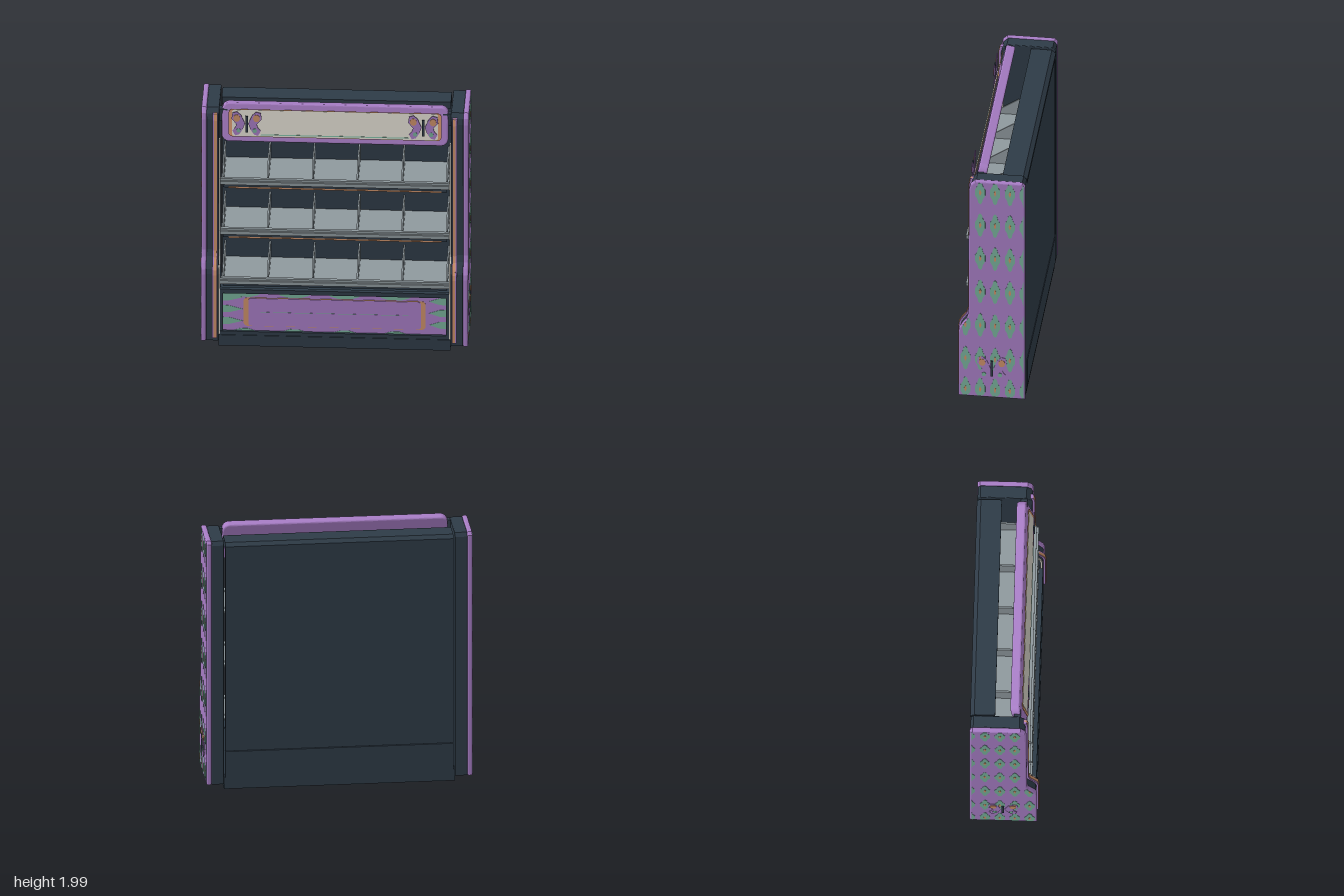
import * as THREE from 'three';
import { mergeGeometries } from 'three/addons/utils/BufferGeometryUtils.js';

const mat = (name, color) => Object.assign(new THREE.MeshStandardMaterial({ color }), { name });

export function createModel() {
  const root = new THREE.Group();
  root.name = 'displayShelf';
  const purple = mat('purple', 0xa77dc5), green = mat('green', 0x78b19b), dark = mat('slate', 0x2e3b47);
  const grey = mat('shelfGrey', 0x8f999e), orange = mat('orange', 0xcd9169), cream = mat('cream', 0xd3cfc4);

  const add = (name, geo, m, parent = root) => {
    const mesh = new THREE.Mesh(geo, m);
    mesh.name = name;
    parent.add(mesh);
    return mesh;
  };
  // Box given by its limits on each axis
  const box = (name, m, x0, x1, y0, y1, z0, z1, parent) =>
    add(name, new THREE.BoxGeometry(x1 - x0, y1 - y0, z1 - z0)
      .translate((x0 + x1) / 2, (y0 + y1) / 2, (z0 + z1) / 2), m, parent);
  const poly = pts => new THREE.Shape(pts.map(p => new THREE.Vector2(p[0], p[1])));
  // Extrude a (z, y) outline from x0 to x1
  const slab = (shape, x0, x1, bevel = 0) => new THREE.ExtrudeGeometry(shape, {
    depth: x1 - x0 - 2 * bevel, bevelEnabled: bevel > 0, bevelSize: bevel, bevelThickness: bevel,
    bevelOffset: -bevel, bevelSegments: 3, curveSegments: 8,
  }).translate(0, 0, bevel).rotateY(-Math.PI / 2).translate(x1, 0, 0);
  // The same slab on the left (s = 1) or right (s = -1) side
  const sideSlab = (shape, s, x0, x1, bevel) => s > 0 ? slab(shape, x0, x1, bevel) : slab(shape, -x1, -x0, bevel);
  const plate = (shape, depth, z = 0) =>
    new THREE.ExtrudeGeometry(shape, { depth, bevelEnabled: false, curveSegments: 8 }).translate(0, 0, z);
  const roundRect = (w, h, r) => {
    const s = new THREE.Shape(), x = w / 2, y = h / 2;
    s.absarc(x - r, y - r, r, 0, Math.PI / 2);
    s.absarc(-x + r, y - r, r, Math.PI / 2, Math.PI);
    s.absarc(-x + r, -y + r, r, Math.PI, Math.PI * 1.5);
    s.absarc(x - r, -y + r, r, Math.PI * 1.5, Math.PI * 2);
    return s;
  };

  // Butterfly ornament facing +z
  const wing = [[.012, 0], [.04, .07], [.07, .1], [.105, .09], [.112, .04], [.075, -.005], [.085, -.035],
    [.105, -.06], [.085, -.1], [.055, -.09], [.03, -.05]];
  const butterfly = (x, y, z, turn) => {
    const g = new THREE.Group();
    g.name = 'butterfly';
    for (const s of [1, -1]) {
      add('wing', plate(poly(wing.map(p => [p[0] * s, p[1]])), .006), purple, g);
      const spot = (name, m, px, py, rx, ry) =>
        add(name, plate(new THREE.Shape().absellipse(px * s, py, rx, ry, 0, Math.PI * 2), .004, .005), m, g);
      spot('upperSpot', orange, .073, .047, .025, .03);
      spot('lowerSpot', green, .06, -.057, .016, .018);
    }
    box('body', dark, -.009, .009, -.07, .065, 0, .012, g);
    g.position.set(x, y, z);
    g.rotation.y = turn;
    root.add(g);
  };

  // Side walls: front edge as (z, y) points, bottom to top
  const front = [[.245, .04], [.245, .6], [.238, .64], [.215, .68], [.185, .72], [.17, .77], [.165, 1.87], [.155, 1.92], [.12, 1.955]];
  const wall = poly([...front, [-.235, 1.955], [-.255, 1.93], [-.255, .04]]);
  const innerWall = poly([...front.map(p => [p[0] - .008, p[1] - (p[1] > 1.9 ? .006 : 0)]), [-.23, 1.949], [-.25, 1.92], [-.25, .04]]);
  const edge = front.slice(0, 8);
  const strip = (d0, d1, y0, y1) => {
    const cut = edge.map(p => [p[0], Math.min(y1, Math.max(y0, p[1]))]);
    return poly([...cut.map(p => [p[0] + d1, p[1]]), ...cut.reverse().map(p => [p[0] + d0, p[1]])]);
  };
  const frontZ = y => {
    for (let i = 1; i < front.length; i++) {
      const [z0, y0] = front[i - 1], [z1, y1] = front[i];
      if (y <= y1) return z0 + (z1 - z0) * (y - y0) / (y1 - y0);
    }
    return .12;
  };

  // Leaf pattern, trimmed to the wall outline
  const leafHalf = [[0, .105], [.014, .09], [.02, .06], [.038, .025], [.038, -.025], [.02, -.06], [.014, -.09], [0, -.105]];
  const leafFull = [...leafHalf, ...leafHalf.slice(1, -1).reverse().map(p => [-p[0], p[1]])];
  const leaf = (z, y, k = 1) => poly(leafFull.map(([dz, dy]) => {
    const py = Math.min(1.942, Math.max(.053, y + dy * k));
    return [Math.max(-.242, Math.min(frontZ(py) - .012, z + dz * k)), py];
  }));
  for (const s of [1, -1]) {
    const side = s > 0 ? 'left' : 'right';
    add(side + 'Wall', sideSlab(wall, s, .953, .992, .012), purple);
    add(side + 'InnerWall', sideSlab(innerWall, s, .86, .954, .006), dark);
    add(side + 'TrimBase', sideSlab(strip(-.02, .008, .07, 1.94), s, .872, .907), purple);
    add(side + 'TrimStripe', sideSlab(strip(-.01, .013, .075, 1.935), s, .876, .896), orange);
    add(side + 'LightStrip', sideSlab(strip(-.03, -.015, .06, 1.7), s, .849, .861), cream);
    const leaves = [], dots = [];
    for (const y of [.11, .38, .68, .98, 1.275, 1.57, 1.86]) {
      for (const z of [.19, .08, -.031, -.142, -.253]) {
        if (z > .15 && y > .7) continue;
        leaves.push(sideSlab(leaf(z, y), s, .989, .994));
        if (z > -.2) dots.push(sideSlab(leaf(z, y, .24), s, .99, .996));
      }
    }
    add(side + 'Leaves', mergeGeometries(leaves), green);
    add(side + 'LeafDots', mergeGeometries(dots), orange);
    butterfly(s * .99, .305, -.008, s * Math.PI / 2);
    butterfly(s * .655, 1.848, .168, 0);
    box(side + 'HeaderBracket', dark, s > 0 ? .8 : -.865, s > 0 ? .865 : -.8, 1.84, 1.94, .07, .12);
  }

  // Carcass
  box('base', dark, -.86, .86, 0, .09, -.245, .24);
  box('backPanel', dark, -.85, .85, .3, 1.91, -.25, -.2);
  box('backLowerPanel', dark, -.85, .85, .06, .296, -.254, -.2);
  add('topHood', slab(poly([[-.225, 1.935], [-.07, 1.935], [-.07, 1.88], [-.255, 1.88], [-.255, 1.91]]), -.85, .85), dark);
  box('lowerBox', dark, -.85, .85, .08, .46, -.2, .212);

  // Lower front panel with frame, leaves and raised plaque
  box('panelTopRail', dark, -.85, .85, .44, .475, .2, .235);
  box('panelBottomRail', dark, -.85, .85, .085, .12, .2, .235);
  for (const s of [1, -1]) box('panelStile', dark, s > 0 ? .828 : -.85, s > 0 ? .85 : -.828, .1, .46, .2, .23);
  box('lowerPanel', purple, -.83, .83, .12, .44, .205, .216);
  const panelLeaves = [];
  for (const x of [-.67, -.3, .075, .45]) {
    panelLeaves.push(poly([[x - .13, .44], [x - .1, .42], [x - .05, .405], [x + .05, .405], [x + .1, .42], [x + .13, .44]]));
    panelLeaves.push(poly([[x - .08, .12], [x - .03, .137], [x + .03, .137], [x + .08, .12]]));
  }
  for (const y of [.2, .3, .4]) for (const s of [1, -1]) {
    const tip = s > 0 ? .7 : -.68;
    panelLeaves.push(poly([[s * .828, y - .03], [s * .78, y - .028], [tip, y], [s * .78, y + .028], [s * .828, y + .03]]));
  }
  add('panelLeaves', mergeGeometries(panelLeaves.map(p => plate(p, .003, .215))), green);
  add('plaqueBorder', plate(roundRect(1.35, .24, .03), .004, .217).translate(0, .28, 0), orange);
  add('plaque', plate(roundRect(1.28, .232, .02), .006, .219).translate(0, .28, 0), purple);
  box('plaqueLine', green, -.55, .55, .279, .282, .224, .226);

  // Shelves with lips, dividers and under-shelf light
  const divider = poly([[-.2, 0], [.165, 0], [.165, .05], [.02, .148], [-.2, .148]]);
  for (const y of [.5, .92, 1.342]) {
    const g = new THREE.Group();
    g.name = 'shelf';
    g.position.y = y;
    root.add(g);
    box('shelfBoard', grey, -.845, .845, 0, .014, -.2, .17, g);
    box('shelfLip', grey, -.85, .85, -.004, .046, .165, .19, g);
    box('lipRail', grey, -.85, .85, .002, .03, .188, .205, g);
    box('shelfTray', dark, -.83, .83, -.05, 0, -.2, .15, g);
    box('shelfLight', orange, -.79, .79, -.054, -.043, .13, .154, g);
    for (let i = 0; i < 6; i++) {
      const x = -.83 + i * .332;
      add('divider', slab(divider, x - .006, x + .006), grey, g);
    }
  }

  // Tilted header board
  const header = new THREE.Group();
  header.name = 'header';
  header.position.set(0, 1.84, .138);
  header.rotation.x = -.2;
  root.add(header);
  add('headerBoard', new THREE.ExtrudeGeometry(roundRect(1.68, .302, .055), {
    depth: .046, bevelSize: .012, bevelThickness: .012, bevelOffset: -.012, bevelSegments: 3, curveSegments: 8,
  }).translate(0, 0, -.058), purple, header);
  add('headerBorder', plate(roundRect(1.58, .212, .03), .004, .011), orange, header);
  add('headerFace', plate(roundRect(1.53, .204, .02), .004, .013), cream, header);
  box('headerLine', green, -.55, .55, -.092, -.085, .016, .019, header);
  return root;
}
